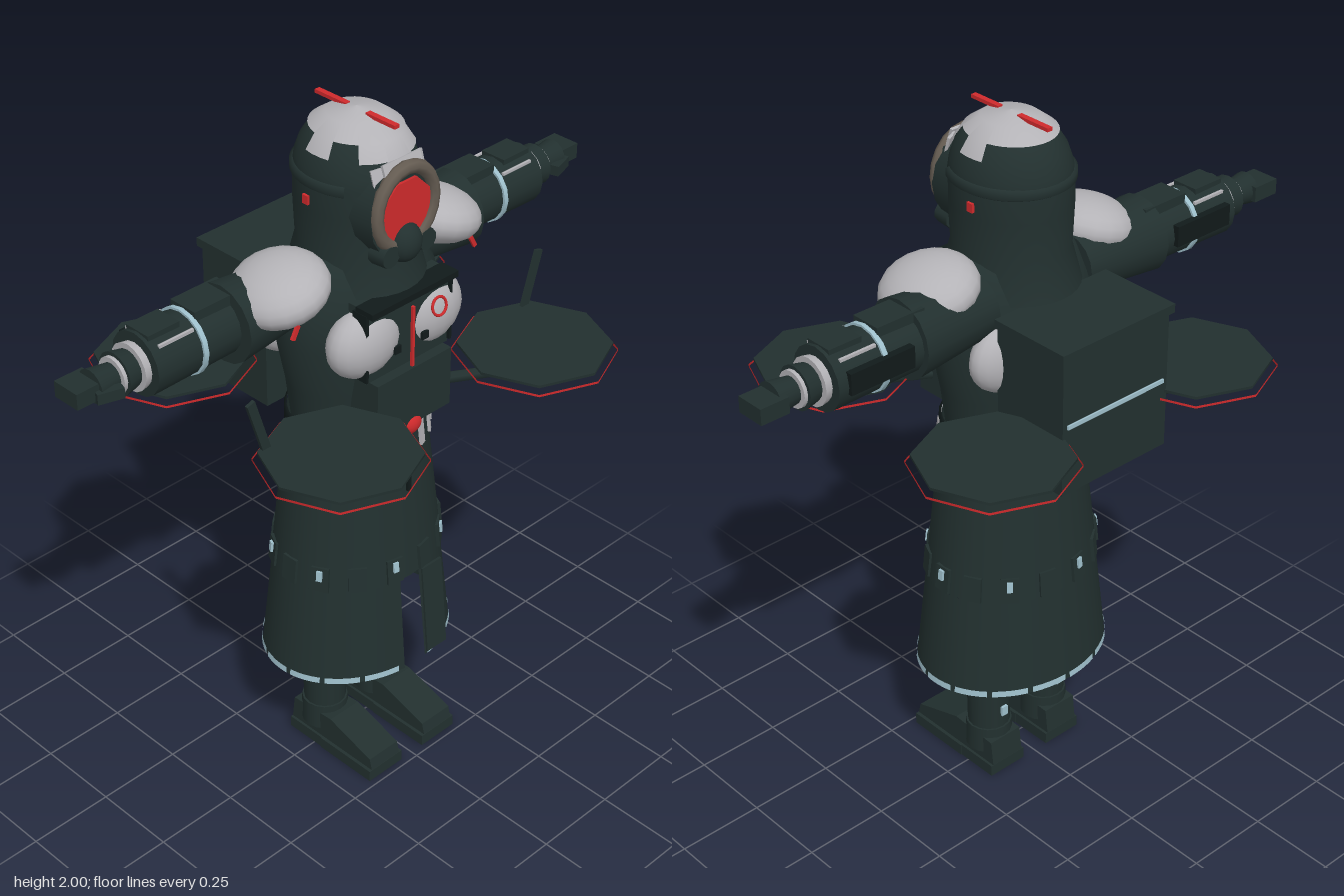
import * as THREE from 'three';

const mat = (name, color, side = THREE.FrontSide) => {
  const m = new THREE.MeshStandardMaterial({ color, side });
  m.name = name;
  return m;
};

export function createModel() {
  const dark = mat('dark cloth', 0x22302f, THREE.DoubleSide);
  const black = mat('black trim', 0x111a1a);
  const grey = mat('pale armour', 0xb4b3b7);
  const red = mat('red', 0xd02a2c, THREE.DoubleSide);
  const blue = mat('pale blue', 0x9fc0cc, THREE.DoubleSide);
  const brown = mat('brown rim', 0x655c52);

  const root = new THREE.Group();
  root.name = 'cloakedFigure';

  const add = (name, geo, m, x = 0, y = 0, z = 0, rx = 0, ry = 0, rz = 0) => {
    const mesh = new THREE.Mesh(geo, m);
    mesh.name = name;
    mesh.position.set(x, y, z);
    mesh.rotation.set(rx, ry, rz);
    root.add(mesh);
    return mesh;
  };
  const box = (w, h, d) => new THREE.BoxGeometry(w, h, d);
  const cyl = (a, b, h, n = 16) => new THREE.CylinderGeometry(a, b, h, n);
  const ball = (a, b, c) => new THREE.SphereGeometry(1, 20, 12).scale(a, b, c);
  // Elliptical turned shape: [radius, height] pairs, phi = 0 faces the front
  const turned = (pts, sz, start = 0, len = Math.PI * 2, n = 32) =>
    new THREE.LatheGeometry(pts.map(p => new THREE.Vector2(p[0], p[1])), n, start, len).scale(1, 1, sz);
  const limb = (name, m, s, x0, x1, r0, r1, y = 1.53, z = -0.06) =>
    add(name, cyl(r0, r1, x1 - x0), m, s * (x0 + x1) / 2, y, z, 0, 0, s * Math.PI / 2);
  // Round bar between two points
  const rod = (name, a, b, r) => {
    const p = new THREE.Vector3(...a), q = new THREE.Vector3(...b);
    add(name, new THREE.TubeGeometry(new THREE.LineCurve3(p, q), 1, r, 6), dark);
  };

  // Coat skirt, split at the front below the knee
  const skirtR = y => 0.2 + (1.14 - y) * 0.114;
  add('skirtTop', turned([[skirtR(0.65), 0.65], [0.2, 1.14]], 0.84), dark);
  add('skirtBottom', turned([[skirtR(0.35), 0.35], [skirtR(0.65), 0.65]], 0.82, 0.14, Math.PI * 2 - 0.28), dark);
  add('frontFlap', box(0.075, 0.28, 0.008), dark, 0.085, 0.5, 0.222, -0.1);
  for (let i = 0; i < 14; i++) {
    const a = 0.17 + i * 0.425;
    add('hemStripe', turned([[0.293, 0.352], [0.291, 0.37]], 0.822, a, 0.37, 4), blue);
  }
  // Thigh tabs around the coat
  for (let i = 0; i < 14; i++) {
    const a = (i + 0.5) / 14 * Math.PI * 2, r = skirtR(0.69);
    const tab = add('coatTab', box(0.05, 0.075, 0.012), dark, Math.sin(a) * r, 0.69, Math.cos(a) * r * 0.84);
    tab.rotation.set(-0.1, a, 0, 'YXZ');
    if (i % 2) {
      const mark = add('tabMark', box(0.016, 0.03, 0.008), blue, Math.sin(a) * (r + 0.008), 0.705, Math.cos(a) * (r + 0.008) * 0.84);
      mark.rotation.set(-0.1, a, 0, 'YXZ');
    }
  }

  // Belt with hanging tabs and red clasp
  add('belt', turned([[0.2, 1.1], [0.208, 1.105], [0.208, 1.14], [0.2, 1.145]], 0.85), black);
  for (const a of [0.38, 0.7, 1.0]) for (const s of [1, -1]) {
    const t = add('beltTab', box(0.022, 0.1, 0.008), grey, s * Math.sin(a) * 0.211, 1.08, Math.cos(a) * 0.211 * 0.85);
    t.rotation.set(-0.1, s * a, 0, 'YXZ');
  }
  add('clasp', ball(0.042, 0.036, 0.035), red, 0, 1.15, 0.19);
  add('beltStrap', box(0.012, 0.2, 0.008), black, 0, 1.03, 0.2);

  // Torso and chest gear
  add('torso', turned([[0.2, 1.13], [0.215, 1.25], [0.245, 1.4], [0.235, 1.52], [0.18, 1.62], [0.1, 1.67]], 0.72), dark);
  add('chestBox', box(0.27, 0.175, 0.12), dark, 0, 1.243, 0.155);
  add('chestBlock', box(0.3, 0.22, 0.06), dark, 0, 1.44, 0.155);
  add('collarBar', box(0.31, 0.018, 0.06), black, 0, 1.545, 0.185);
  add('chestStripe', box(0.008, 0.18, 0.008), red, 0, 1.42, 0.205);
  for (const s of [1, -1]) {
    add('breastPlate', ball(0.115, 0.1, 0.07), grey, s * 0.115, 1.43, 0.14);
    add('backPlate', ball(0.115, 0.1, 0.06), grey, s * 0.13, 1.4, -0.12);
    add('chestStrap', box(0.008, 0.2, 0.05), black, s * 0.152, 1.44, 0.17);
    add('plateRivet', box(0.022, 0.022, 0.008), black, s * 0.05, 1.4, 0.2);
  }
  add('chestBadge', new THREE.TorusGeometry(0.025, 0.004, 6, 20), red, 0.095, 1.47, 0.207, -0.25);

  // Backpack
  add('backpack', box(0.37, 0.4, 0.24), dark, 0, 1.32, -0.27);
  add('backpackLid', box(0.39, 0.025, 0.25), dark, 0, 1.527, -0.275);
  add('backpackStripe', box(0.34, 0.012, 0.006), blue, 0, 1.32, -0.392);

  // Four rotor discs with guard rings, motors and arms
  for (const s of [1, -1]) for (const z of [0.31, -0.325]) {
    const x = s * 0.358;
    add('rotorDisc', cyl(0.208, 0.208, 0.008, 8), dark, x, 1.285, z);
    add('guardRing', new THREE.CylinderGeometry(0.222, 0.222, 0.007, 8, 1, true), red, x, 1.266, z);
    add('rotorMotor', cyl(0.034, 0.034, 0.07, 10), dark, x, 1.24, z);
    rod('rotorArm', [x, 1.215, z], [s * 0.12, 1.215, z > 0 ? 0.17 : -0.27], 0.017);
  }
  for (const s of [1, -1]) add('lever', box(0.026, 0.19, 0.01), dark, s * 0.497, 1.352, 0.165, 0, 0, -s * 0.3);

  for (const s of [1, -1]) {
    // Arms and shoulder caps
    limb('upperArm', dark, s, 0.16, 0.42, 0.085, 0.11, 1.53, -0.05);
    limb('forearm', dark, s, 0.4, 0.69, 0.083, 0.088);
    add('armPlate', box(0.15, 0.03, 0.09), dark, s * 0.46, 1.612, -0.06);
    add('cuffPlate', box(0.1, 0.026, 0.08), dark, s * 0.63, 1.608, -0.06);
    add('armSidePlate', box(0.2, 0.06, 0.02), black, s * 0.56, 1.54, -0.146);
    for (const x of [0.385, 0.54]) limb('armBand', blue, s, x - 0.007, x + 0.007, 0.092, 0.092);
    for (const z of [-0.12, 0.0])
      add('armPiping', box(0.11, 0.008, 0.008), grey, s * 0.61, 1.595, z);
    limb('cuff', grey, s, 0.69, 0.712, 0.062, 0.066);
    limb('wrist', dark, s, 0.71, 0.755, 0.05, 0.06);
    limb('wristRing', grey, s, 0.755, 0.765, 0.05, 0.05);
    limb('palm', dark, s, 0.765, 0.83, 0.036, 0.046);
    add('fingers', box(0.085, 0.045, 0.085), dark, s * 0.855, 1.53, -0.07, 0, 0, 0);
    add('thumb', box(0.07, 0.03, 0.025), dark, s * 0.81, 1.52, -0.015, 0, s * 0.3, 0);
    add('shoulderCap', ball(0.132, 0.075, 0.135), grey, s * 0.275, 1.595, 0.005, 0, 0, -s * 0.28);
    add('shoulderMark', box(0.012, 0.04, 0.008), red, s * 0.32, 1.53, 0.11, 0, 0, s * 0.5);

    // Legs and boots
    const x = s * 0.107;
    add('leg', cyl(0.07, 0.06, 0.6), dark, x, 0.4, -0.02);
    add('bootCuff', cyl(0.069, 0.069, 0.025), black, x, 0.28, -0.02);
    add('ankle', cyl(0.066, 0.068, 0.08), dark, x, 0.1, -0.02);
    add('bootBuckle', box(0.02, 0.03, 0.008), blue, x, 0.2, -0.086);
    const foot = new THREE.Shape([[-0.1, 0.03], [0.23, 0.03], [0.22, 0.07], [0.06, 0.12], [-0.09, 0.11]]
      .map(p => new THREE.Vector2(...p)));
    add('boot', new THREE.ExtrudeGeometry(foot, { depth: 0.11, bevelEnabled: false })
      .translate(0, 0, -0.055).rotateY(-Math.PI / 2), dark, x);
    add('soleFront', box(0.13, 0.035, 0.2), dark, x, 0.0175, 0.13);
    add('soleHeel', box(0.125, 0.035, 0.14), dark, x, 0.0175, -0.03);
  }

  // Hooded head and helmet
  const dome = [[0.154, 1.84], [0.15, 1.87], [0.137, 1.91], [0.112, 1.95], [0.07, 1.982], [0, 1.997]];
  add('hood', turned([[0.175, 1.54], [0.15, 1.64], [0.155, 1.76], ...dome], 1.1), dark);
  add('helmetRim', turned([[0.155, 1.825], [0.162, 1.83], [0.162, 1.85], [0.153, 1.855]], 1.08, 1, Math.PI * 2 - 2), dark);
  // Ragged pale cap: wedges reaching down by different amounts
  const reach = [1, 2, 3, 2, 3, 3, 3, 3, 3, 2, 3, 2];
  reach.forEach((k, i) => {
    const pts = dome.slice(k).map(p => [p[0] + (p[0] ? 0.004 : 0), p[1] + 0.003]);
    add('helmetCap', turned(pts, 1.1, (i - 0.5) * Math.PI / 6, Math.PI / 6, 3), grey);
  });
  for (const [z, d] of [[0.09, 0.1], [-0.085, 0.11]]) add('crestBar', box(0.016, 0.01, d), red, 0, 1.992, z);

  // Face: red visor in a brown rim, breathing mask below
  add('faceShell', cyl(0.118, 0.125, 0.07, 16).scale(1, 1, 1.1), dark, 0, 1.775, 0.135, Math.PI / 2);
  add('visor', cyl(0.09, 0.09, 0.008, 8).rotateY(Math.PI / 8).rotateX(Math.PI / 2), red, 0, 1.775, 0.174);
  add('visorRim', new THREE.TorusGeometry(0.1, 0.018, 8, 20).scale(1, 1.08, 1), brown, 0, 1.785, 0.172);
  add('mask', ball(0.05, 0.055, 0.045), dark, 0, 1.685, 0.168);
  for (const s of [1, -1]) {
    add('maskFilter', cyl(0.03, 0.034, 0.05, 10), dark, s * 0.065, 1.672, 0.165, Math.PI / 2, 0, 0);
    add('browCorner', box(0.035, 0.05, 0.008), grey, s * 0.072, 1.88, 0.15, -0.3, s * 0.4, 0);
    add('sideMark', box(0.008, 0.025, 0.02), red, s * 0.156, 1.79, -0.02);
  }
  add('brow', box(0.13, 0.03, 0.008), grey, 0, 1.9, 0.158, -0.35);

  return root;
}
